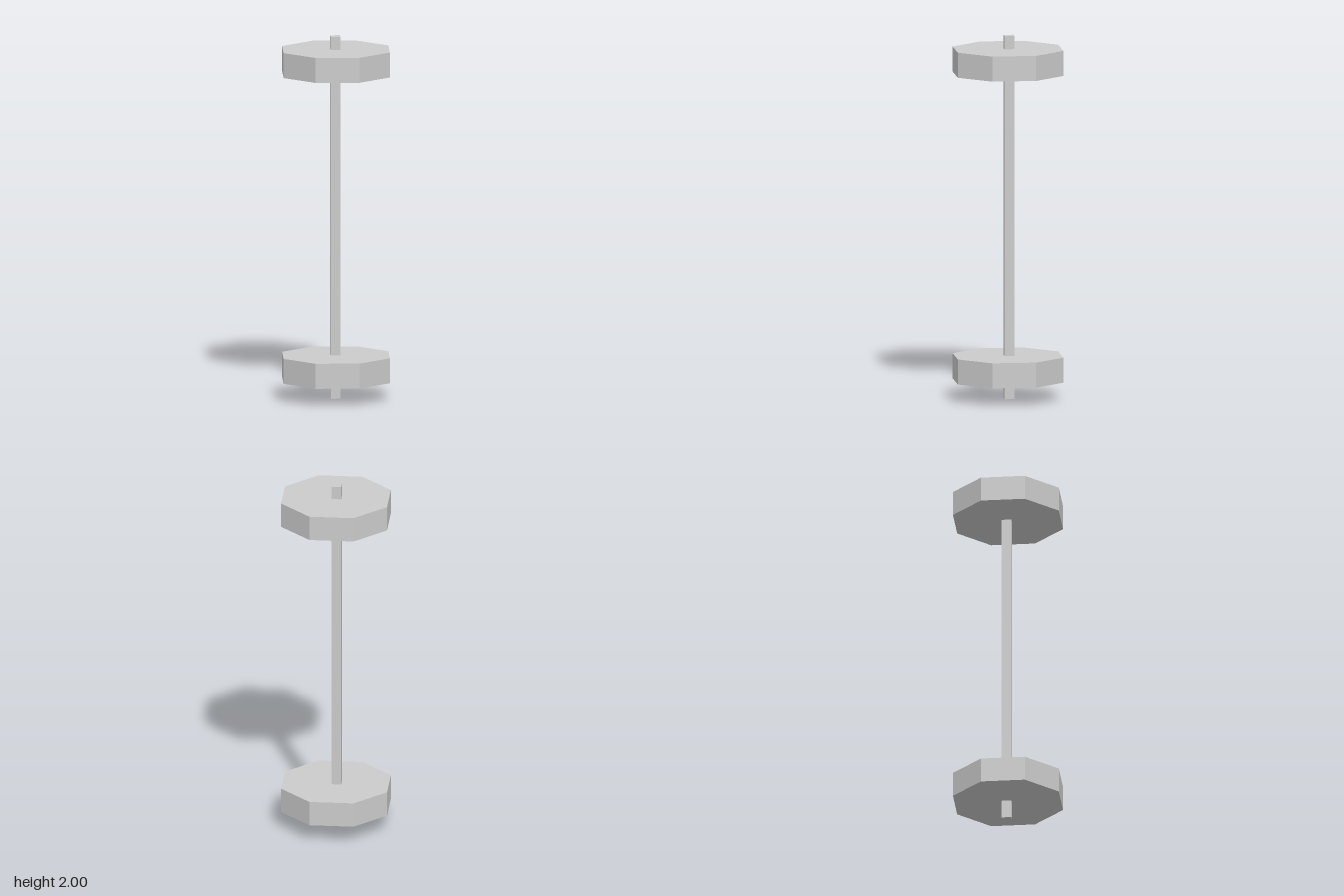
import * as THREE from 'three';

export function createModel() {
  const model = new THREE.Group();
  model.name = 'barbell';

  const metal = new THREE.MeshStandardMaterial({ color: 0xcccccc });
  metal.name = 'grey metal';

  const addPart = (name, geometry, x, y, z) => {
    const mesh = new THREE.Mesh(geometry, metal);
    mesh.name = name;
    mesh.position.set(x, y, z);
    model.add(mesh);
  };

  // Square bar, slightly off the axis of the weights
  addPart('bar', new THREE.BoxGeometry(0.054, 2, 0.054), -0.004, 1, -0.006);

  // Octagonal weights with flat sides facing the axes
  const apothem = 0.29;
  const radius = apothem / Math.cos(Math.PI / 8);
  const weight = new THREE.CylinderGeometry(radius, radius, 0.138, 8, 1, false, Math.PI / 8).toNonIndexed();
  weight.computeVertexNormals(); // flat facets
  addPart('lowerWeight', weight, 0, 0.169, 0);
  addPart('upperWeight', weight, 0, 1.859, 0);

  return model;
}
